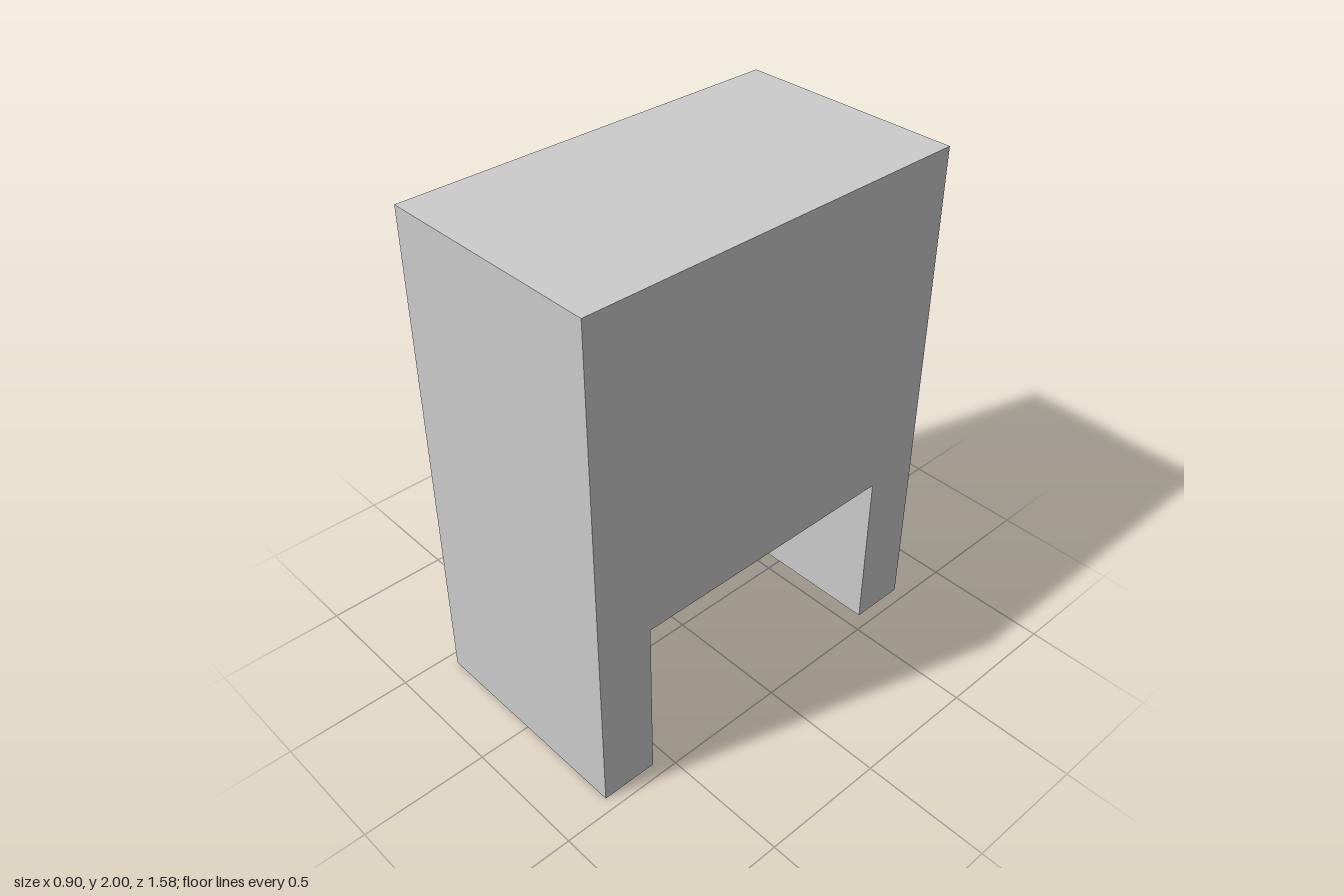
import * as THREE from 'three';

const W = 0.45, D = 0.79, H = 2;        // half width, half depth, height
const LEG = 0.565, ARCH = 0.68;         // inner leg face, underside of body
const PANEL = 0.04;                     // side panel thickness

// Side outline: a tall body standing on a front and a back leg
function sideOutline() {
  return new THREE.Shape([
    [-D, 0], [-LEG, 0], [-LEG, ARCH], [LEG, ARCH],
    [LEG, 0], [D, 0], [D, H], [-D, H],
  ].map(([z, y]) => new THREE.Vector2(z, y)));
}

// Rounded grip slot centred on z = 0
function slot(cy, hw = 0.175, hh = 0.053, r = 0.035) {
  const p = new THREE.Path();
  p.absarc(hw - r, cy - hh + r, r, -Math.PI / 2, 0);
  p.absarc(hw - r, cy + hh - r, r, 0, Math.PI / 2);
  p.absarc(-hw + r, cy + hh - r, r, Math.PI / 2, Math.PI);
  p.absarc(-hw + r, cy - hh + r, r, Math.PI, Math.PI * 1.5);
  p.closePath();
  return p;
}

// Inner cavity of the body
function cavity() {
  return new THREE.Path([
    [-LEG, ARCH + PANEL], [LEG, ARCH + PANEL], [LEG, H - PANEL], [-LEG, H - PANEL],
  ].map(([z, y]) => new THREE.Vector2(z, y)));
}

export function createModel() {
  const group = new THREE.Group();
  const material = new THREE.MeshStandardMaterial({ color: 0xcccccc });

  // Extrudes the side outline from x = x0 to x = x1
  const slab = (name, x0, x1, holes = []) => {
    const shape = sideOutline();
    shape.holes.push(...holes);
    const geo = new THREE.ExtrudeGeometry(shape, {
      depth: x1 - x0, bevelEnabled: false, curveSegments: 8,
    });
    geo.rotateY(-Math.PI / 2).translate(x1, 0, 0);
    const mesh = new THREE.Mesh(geo, material);
    mesh.name = name;
    group.add(mesh);
  };

  slab('leftPanel', W - PANEL, W);
  slab('body', -W + PANEL, W - PANEL, [cavity()]);
  slab('slottedRightPanel', -W, -W + PANEL, [slot(1.835), slot(1.23)]);

  return group;
}
